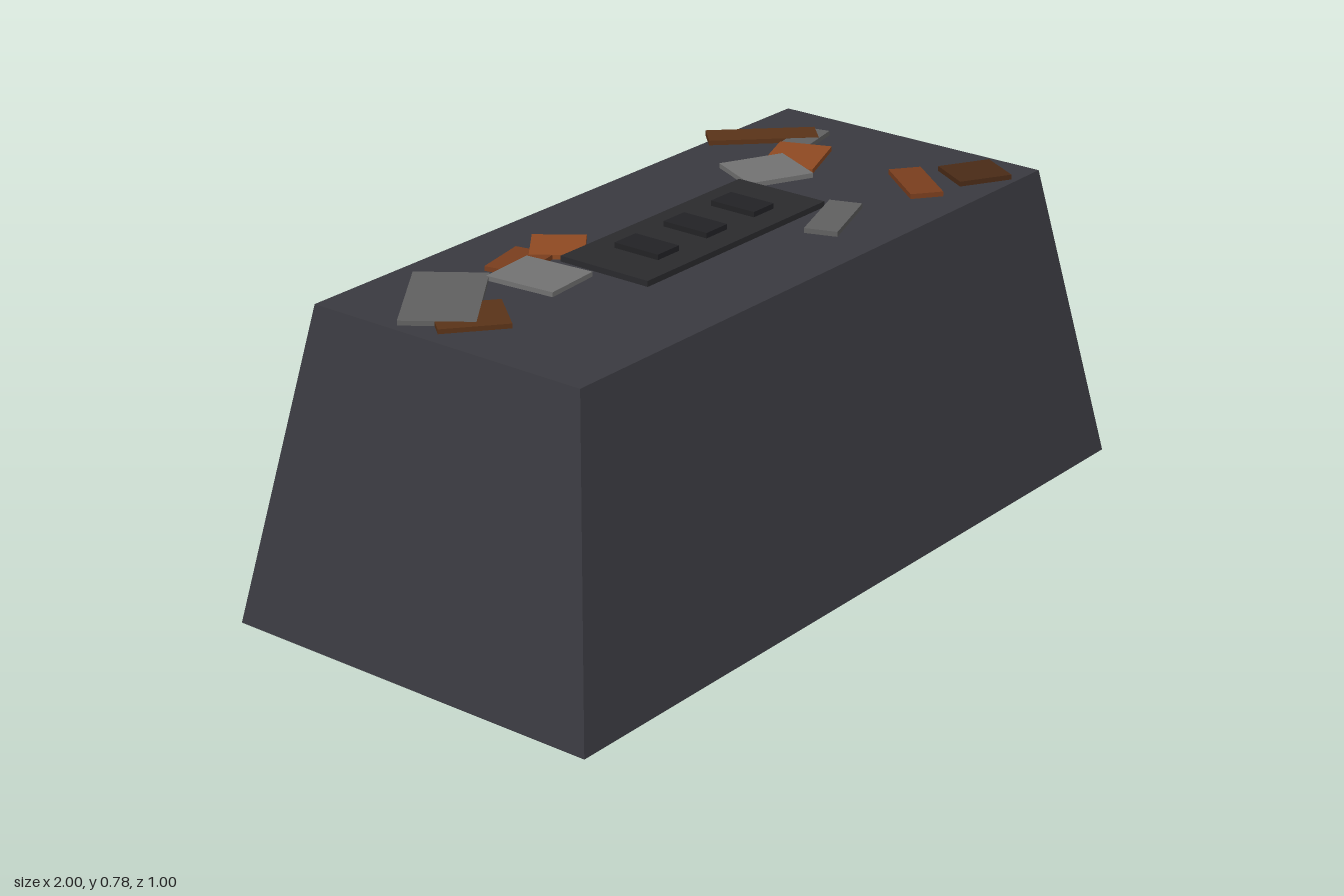
import * as THREE from 'three';

const material = (color) => new THREE.MeshStandardMaterial({ color });

export function createModel() {
  const model = new THREE.Group();
  const add = (name, geometry, mat, x, y, z, turn = 0) => {
    const mesh = new THREE.Mesh(geometry, mat);
    mesh.name = name;
    mesh.position.set(x, y, z);
    mesh.rotation.y = turn;
    model.add(mesh);
  };

  // Tapered block: a box whose top face is drawn in
  const block = new THREE.BoxGeometry(2, 0.75, 1);
  const p = block.attributes.position;
  for (let i = 0; i < p.count; i++) {
    if (p.getY(i) > 0) {
      p.setX(i, p.getX(i) * 0.85);
      p.setZ(i, p.getZ(i) * 0.75);
    }
  }
  block.computeVertexNormals();
  add('body', block, material(0x3a3a40), 0, 0.375, 0);

  // Raised panel with three buttons
  add('panel', new THREE.BoxGeometry(0.65, 0.015, 0.25), material(0x2a2a2d), 0, 0.7565, 0);
  const buttonMaterial = material(0x222225);
  for (const x of [-0.175, 0, 0.175]) {
    add('button', new THREE.BoxGeometry(0.075, 0.014, 0.125), buttonMaterial, x, 0.77, 0);
  }

  // Flat scraps scattered on the top
  const mats = {
    darkGrey: material(0x606060),
    grey: material(0x727272),
    brown: material(0x5a3318),
    darkBrown: material(0x4a2a16),
    rust: material(0x7a3e1e),
    orange: material(0x8f4a22),
  };
  // colour, x, z, length, width, turn
  const scraps = [
    ['brown', -0.705, -0.055, 0.16, 0.145, -0.69],
    ['darkGrey', -0.663, -0.168, 0.29, 0.17, 0.63],
    ['rust', -0.395, -0.185, 0.14, 0.1, 0.2],
    ['grey', -0.433, -0.094, 0.15, 0.18, 0.08],
    ['orange', -0.27, -0.18, 0.13, 0.125, 0.66],
    ['darkGrey', 0.67, -0.19, 0.14, 0.07, 0.2],
    ['orange', 0.55, -0.125, 0.175, 0.13, 0.37],
    ['grey', 0.43, -0.125, 0.17, 0.16, -0.45],
    ['brown', 0.625, -0.286, 0.27, 0.08, -0.8],
    ['darkGrey', 0.265, 0.195, 0.2, 0.08, 0.34],
    ['rust', 0.58, 0.205, 0.18, 0.08, 0.91],
    ['darkBrown', 0.725, 0.275, 0.135, 0.12, -0.52],
  ];
  scraps.forEach(([color, x, z, length, width, turn], i) => {
    // A hair of height difference keeps overlapping scraps apart
    add('scrap', new THREE.BoxGeometry(length, 0.014, width), mats[color],
      x, 0.754 + i * 0.0001, z, turn);
  });

  return model;
}
